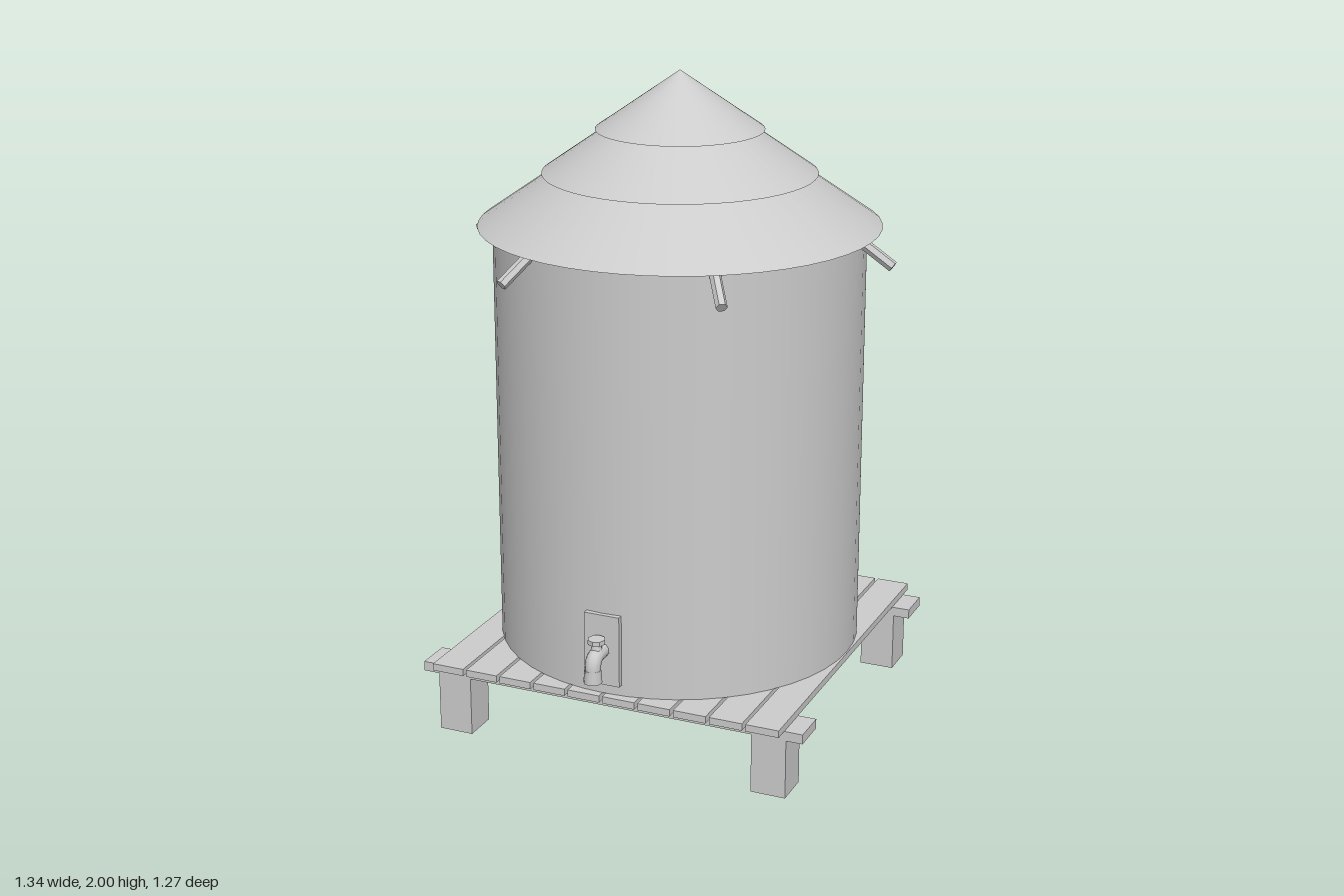
import * as THREE from 'three';

const CENTRE_Z = -0.028; // axis of the tank and platform

export function createModel() {
  const model = new THREE.Group();
  const smooth = new THREE.MeshStandardMaterial({ color: 0xcccccc });
  const flat = new THREE.MeshStandardMaterial({ color: 0xcccccc, flatShading: true });

  const add = (name, geometry, x, y, z, material = smooth, parent = model) => {
    const mesh = new THREE.Mesh(geometry, material);
    mesh.name = name;
    mesh.position.set(x, y, z);
    parent.add(mesh);
    return mesh;
  };

  // Tank body
  add('tank', new THREE.CylinderGeometry(0.56, 0.56, 1.31, 48), 0, 0.237 + 0.655, CENTRE_Z);

  // Roof: three overlapping cones
  const tiers = [[0.605, 1.54, 1.963], [0.412, 1.695, 1.983], [0.252, 1.825, 2]];
  for (const [radius, base, apex] of tiers) {
    add('roofTier', new THREE.ConeGeometry(radius, apex - base, 48), 0, (base + apex) / 2, CENTRE_Z);
  }

  // Six spouts sloping out from under the eave
  const spoutStart = new THREE.Vector3(0.535, 1.549, 0);
  const spoutEnd = new THREE.Vector3(0.66, 1.464, 0);
  const spoutDir = spoutEnd.clone().sub(spoutStart);
  for (let i = 0; i < 6; i++) {
    const pivot = new THREE.Group();
    pivot.name = 'spout';
    pivot.position.z = CENTRE_Z;
    pivot.rotation.y = THREE.MathUtils.degToRad(3.5 + 60 * i);
    const mid = spoutStart.clone().add(spoutEnd).multiplyScalar(0.5);
    const pipe = add('spoutPipe', new THREE.CylinderGeometry(0.017, 0.017, spoutDir.length(), 6),
      mid.x, mid.y, 0, flat, pivot);
    pipe.quaternion.setFromUnitVectors(new THREE.Vector3(0, 1, 0), spoutDir.clone().normalize());
    model.add(pivot);
  }

  // Platform slats
  for (let i = 0; i < 10; i++) {
    add('slat', new THREE.BoxGeometry(0.103, 0.022, 1.17), (i - 4.5) * 0.1138, 0.226, CENTRE_Z, flat);
  }

  // Cross beams and legs
  for (const side of [-1, 1]) {
    const z = CENTRE_Z + side * 0.484;
    add('beam', new THREE.BoxGeometry(1.24, 0.03, 0.112), 0, 0.2, z, flat);
    for (const x of [-0.515, 0.515]) {
      add('leg', new THREE.BoxGeometry(0.108, 0.186, 0.112), x, 0.093, z, flat);
    }
  }

  // Tap plate
  add('tapPlate', new THREE.BoxGeometry(0.112, 0.222, 0.045), 0, 0.382, 0.523, flat);

  // Tap: bent pipe, outlet collar, stem and handle
  const tap = new THREE.Group();
  tap.name = 'tap';
  model.add(tap);
  const path = new THREE.CurvePath();
  const p = (y, z) => new THREE.Vector3(0, y, z);
  path.add(new THREE.LineCurve3(p(0.382, 0.53), p(0.382, 0.572)));
  path.add(new THREE.QuadraticBezierCurve3(p(0.382, 0.572), p(0.382, 0.607), p(0.345, 0.607)));
  path.add(new THREE.LineCurve3(p(0.345, 0.607), p(0.31, 0.607)));
  add('tapPipe', new THREE.TubeGeometry(path, 16, 0.024, 10), 0, 0, 0, smooth, tap);
  add('tapOutlet', new THREE.CylinderGeometry(0.025, 0.028, 0.04, 10), 0, 0.325, 0.607, smooth, tap);
  add('tapStem', new THREE.CylinderGeometry(0.012, 0.02, 0.035, 8), 0, 0.406, 0.58, smooth, tap);
  add('tapHandle', new THREE.CylinderGeometry(0.027, 0.027, 0.014, 8), 0, 0.425, 0.58, flat, tap);

  return model;
}
